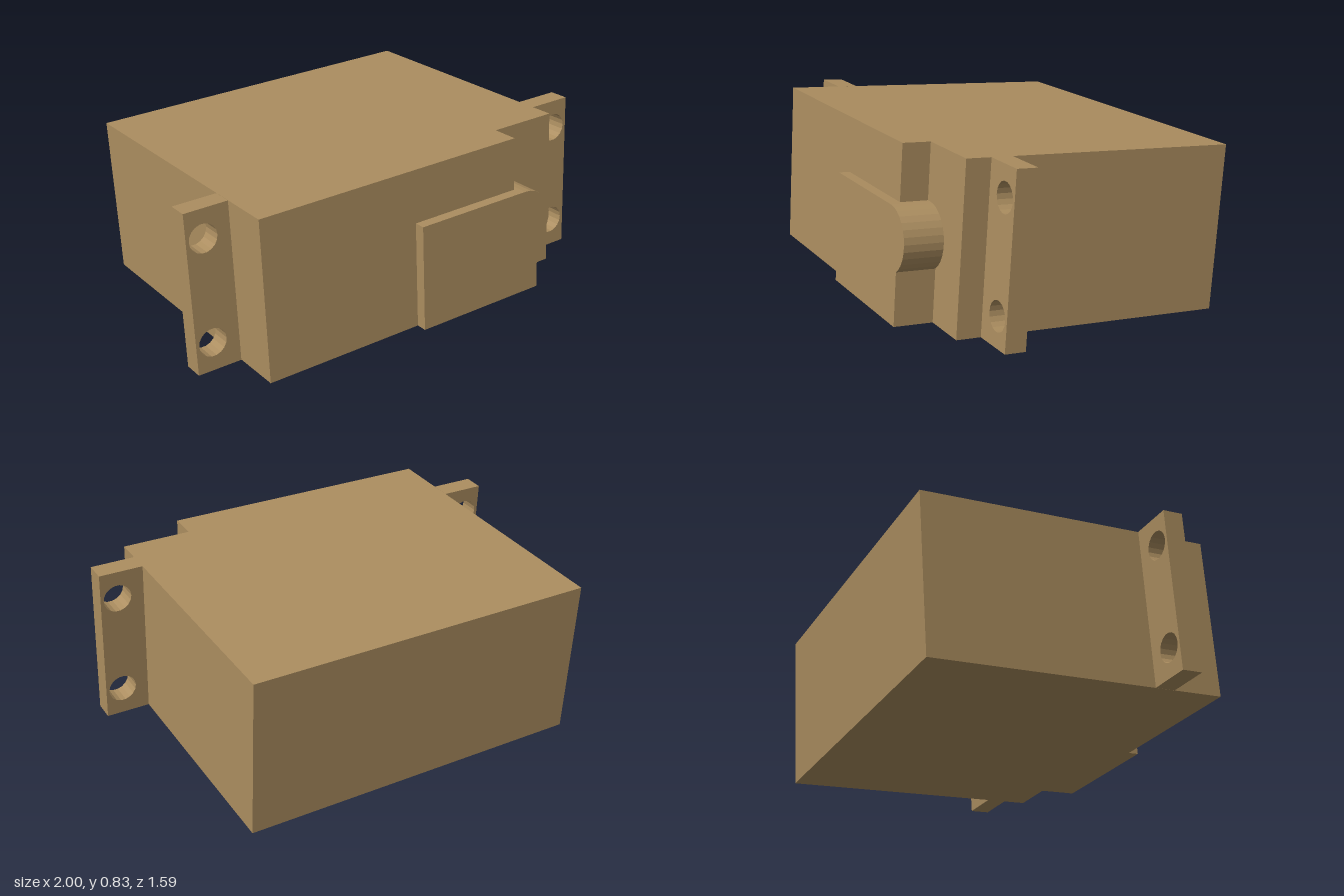
import * as THREE from 'three';

export function createModel() {
  const model = new THREE.Group();
  model.name = 'servoMotor';
  const tan = new THREE.MeshStandardMaterial({ color: 0xac8e60 });
  tan.name = 'tan plastic';

  const bottom = 0.054, top = 0.781, middle = (bottom + top) / 2;
  const left = -0.75, right = 0.846, centre = 0.047;

  // The whole unit sits slightly turned and tipped
  const servo = new THREE.Group();
  servo.name = 'tiltedServo';
  servo.rotation.set(-0.069, -0.117, 0);
  model.add(servo);

  const add = (name, geometry) => {
    const mesh = new THREE.Mesh(geometry, tan);
    mesh.name = name;
    servo.add(mesh);
  };
  const extrude = (shape, depth, curveSegments = 6) =>
    new THREE.ExtrudeGeometry(shape, { depth, bevelEnabled: false, curveSegments });

  // Case: stepped footprint raised to full height
  const footprint = new THREE.Shape([
    [left, -0.683], [0.532, -0.683], [0.532, -0.56],
    [right, -0.56], [right, 0.663], [left, 0.663],
  ].map(([x, y]) => new THREE.Vector2(x, y)));
  add('case', extrude(footprint, top - bottom).rotateX(-Math.PI / 2).translate(0, bottom, 0));

  // Mounting ears with two screw holes each
  for (const side of [-1, 1]) {
    const inner = centre + side * 0.798, outer = centre + side * 0.999;
    const a = Math.min(inner, outer), b = Math.max(inner, outer);
    const ear = new THREE.Shape([
      new THREE.Vector2(a, bottom), new THREE.Vector2(b, bottom),
      new THREE.Vector2(b, top), new THREE.Vector2(a, top),
    ]);
    for (const dy of [-0.235, 0.235]) {
      ear.holes.push(new THREE.Path().absarc(centre + side * 0.921, middle + dy, 0.064, 0, Math.PI * 2, true));
    }
    add(side < 0 ? 'rightMountingEar' : 'leftMountingEar', extrude(ear, 0.092, 9).translate(0, 0, 0.36));
  }

  // Raised front plate, rounded around the output shaft
  const cx = 0.555, cy = 0.4, r = 0.14, plateRight = 0.63;
  const endAngle = -Math.acos((plateRight - cx) / r);
  const plate = new THREE.Shape();
  plate.moveTo(plateRight, bottom);
  plate.lineTo(-0.005, bottom);
  plate.lineTo(-0.005, cy + r);
  plate.lineTo(cx, cy + r);
  plate.absarc(cx, cy, r, Math.PI / 2, endAngle, true);
  plate.closePath();
  add('shaftPlate', extrude(plate, 0.182, 6).translate(0, 0, 0.55));

  return model;
}
